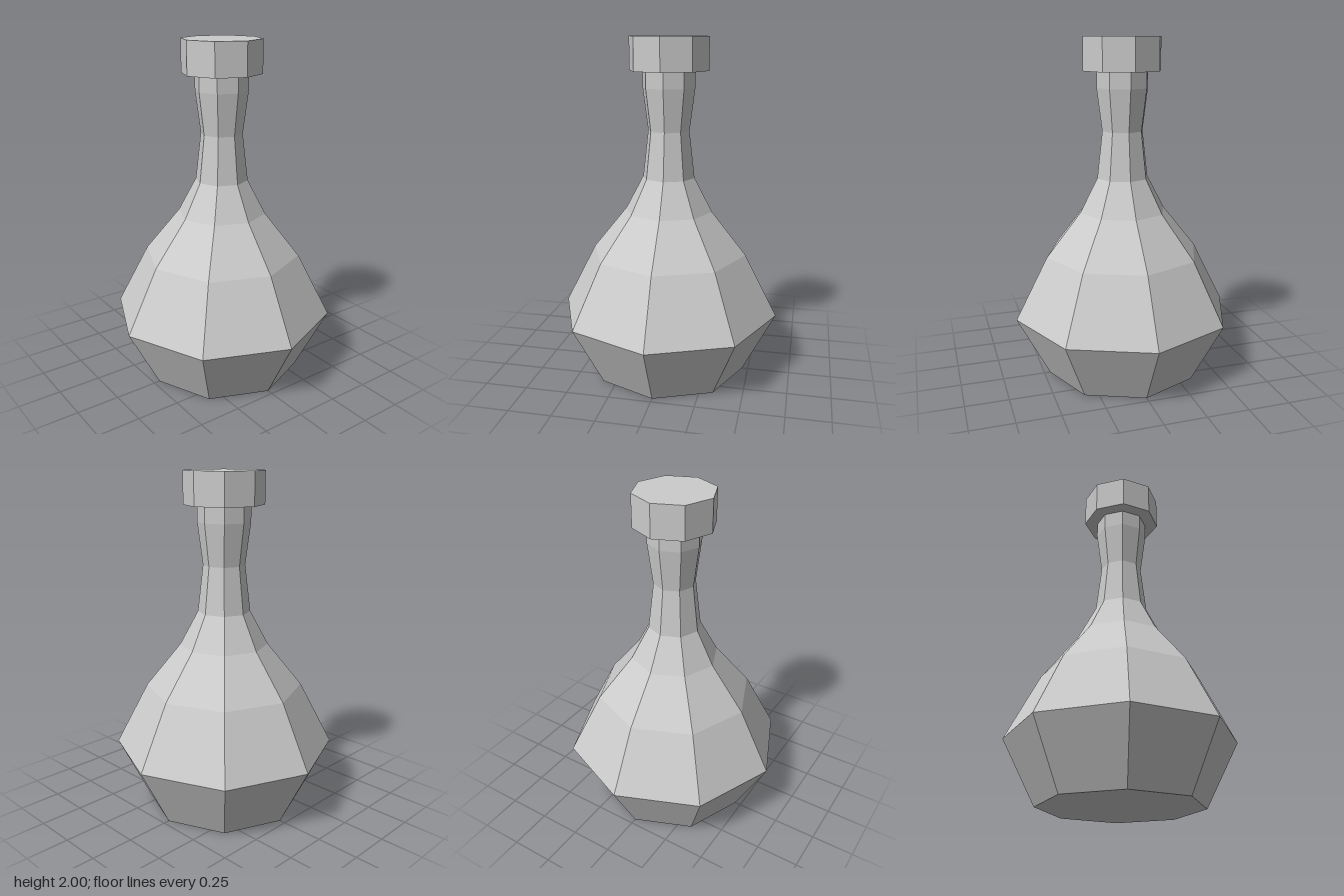
import * as THREE from 'three';

const SIDES = 8;

// Faceted solid of revolution from [radius, height] pairs, listed bottom to top
function turned(name, profile, material) {
  const points = profile.map(([r, y]) => new THREE.Vector2(r, y));
  const mesh = new THREE.Mesh(new THREE.LatheGeometry(points, SIDES), material);
  mesh.name = name;
  return mesh;
}

export function createModel() {
  const model = new THREE.Group();
  model.name = 'bottle';
  const material = new THREE.MeshStandardMaterial({ color: 0xcccccc, flatShading: true });

  // Flask: flat base, wide belly, sloping shoulder and pinched neck
  model.add(turned('flask', [
    [0, 0], [0.465, 0], [0.657, 0.37], [0.465, 0.74], [0.26, 0.995],
    [0.154, 1.195], [0.122, 1.47], [0.154, 1.715], [0.154, 1.81],
  ], material));

  // Stopper: solid octagonal cap sitting on the neck
  const stopper = new THREE.Mesh(new THREE.CylinderGeometry(0.232, 0.232, 0.19, SIDES), material);
  stopper.name = 'stopper';
  stopper.position.y = 1.905;
  model.add(stopper);

  return model;
}
